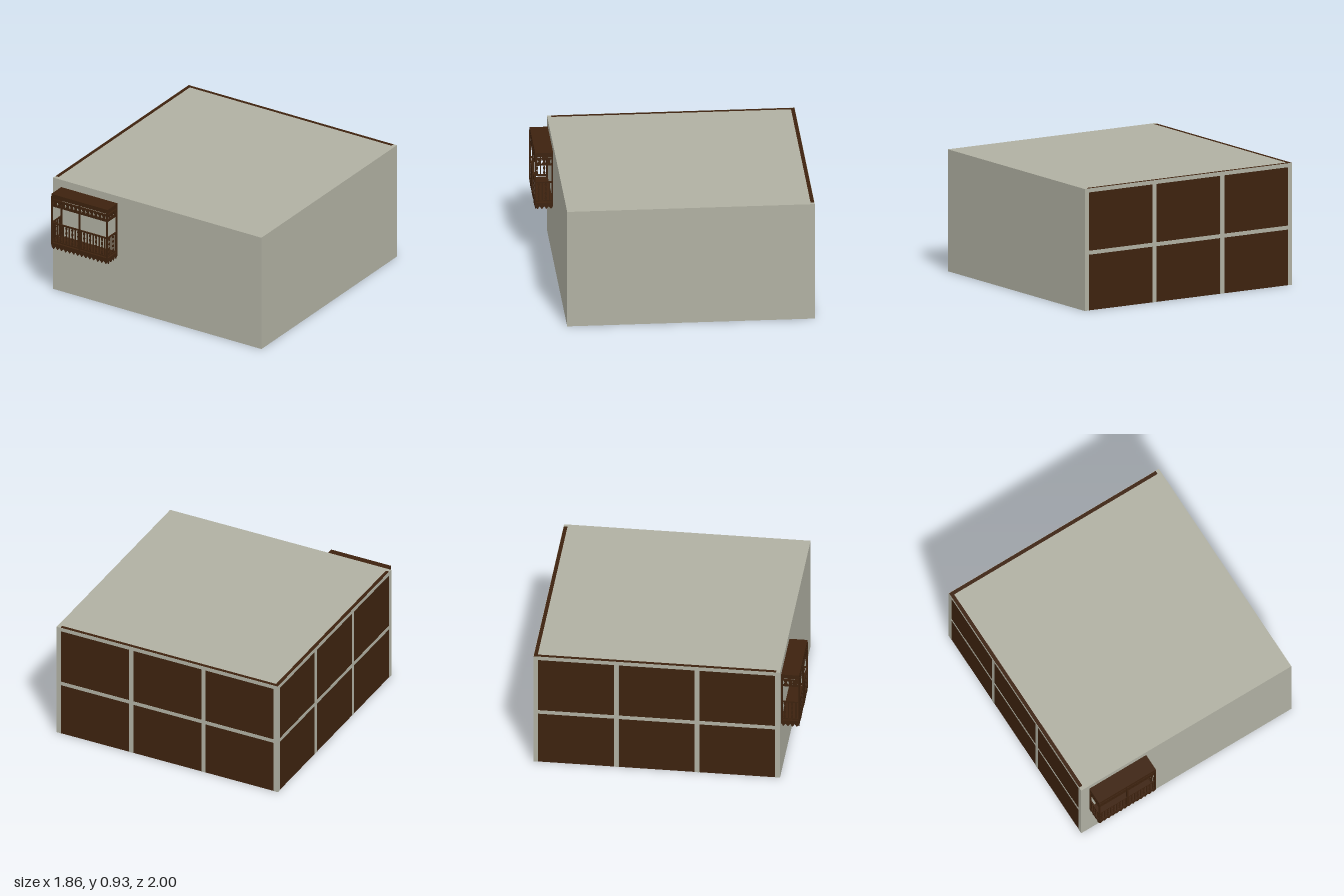
import * as THREE from 'three';

const plaster = new THREE.MeshStandardMaterial({ color: 0xb0b0a2 });
plaster.name = 'plaster';
const wood = new THREE.MeshStandardMaterial({ color: 0x3d220e });
wood.name = 'dark wood';

// Box given by its min and max corners
function box(parent, name, mat, x0, x1, y0, y1, z0, z1) {
  const mesh = new THREE.Mesh(new THREE.BoxGeometry(x1 - x0, y1 - y0, z1 - z0), mat);
  mesh.position.set((x0 + x1) / 2, (y0 + y1) / 2, (z0 + z1) / 2);
  mesh.name = name;
  parent.add(mesh);
}

// Flat sawn board, centred on z = 0
function board(parent, name, shape, thickness) {
  const geo = new THREE.ExtrudeGeometry(shape, { depth: thickness, bevelEnabled: false });
  geo.translate(0, 0, -thickness / 2);
  const mesh = new THREE.Mesh(geo, wood);
  mesh.name = name;
  parent.add(mesh);
}

const points = (list) => list.map(([x, y]) => new THREE.Vector2(x, y));

// Plaster strips framing a wooden wall, in the wall's own plane (u along, facing +z)
function timberFrame(u0, u1) {
  const g = new THREE.Group();
  const t = 0.002, w = 0.036, len = u1 - u0;
  for (let i = 0; i <= 3; i++) {
    const c = u0 + w / 2 + (i / 3) * (len - w);
    box(g, 'frameUpright', plaster, c - w / 2, c + w / 2, 0, 0.93, 0, t);
  }
  for (const y of [0.425, 0.9]) box(g, 'frameBeam', plaster, u0, u1, y, y + 0.03, 0, t);
  return g;
}

// One side of the balcony: fringe, balustrade and pierced frieze
function balconySide(length) {
  const g = new THREE.Group();
  const h = length / 2;
  box(g, 'handRail', wood, -h, h, 0.625, 0.636, -0.005, 0.005);
  box(g, 'bottomRail', wood, -h, h, 0.475, 0.486, -0.005, 0.005);

  // Balusters, plain and notched by turns
  const bars = Math.round(length / 0.026);
  for (let i = 1; i < bars; i++) {
    const x = -h + (i * length) / bars;
    if (i % 2 === 0) {
      box(g, 'plainBaluster', wood, x - 0.0045, x + 0.0045, 0.48, 0.63, -0.003, 0.003);
      continue;
    }
    const right = [];
    for (let k = 0; k <= 8; k++) right.push([k % 2 ? 0.009 : 0.003, 0.48 + (k * 0.15) / 8]);
    const left = right.map(([dx, y]) => [-dx, y]).reverse();
    const outline = [...right, ...left].map(([dx, y]) => [x + dx, y]);
    board(g, 'notchedBaluster', new THREE.Shape(points(outline)), 0.006);
  }

  // Frieze pierced by diamonds
  const n = Math.round(length / 0.036);
  const pitch = length / n;
  const frieze = new THREE.Shape(points([[-h, 0.767], [h, 0.767], [h, 0.828], [-h, 0.828]]));
  for (let i = 0; i < n; i++) {
    const x = -h + (i + 0.5) * pitch;
    frieze.holes.push(new THREE.Path(points(
      [[x, 0.778], [x - 0.009, 0.798], [x, 0.818], [x + 0.009, 0.798]])));
  }
  board(g, 'frieze', frieze, 0.008);

  // Hanging saw-tooth fringe
  const teeth = [[h, 0.445], [-h, 0.445]];
  for (let i = 0; i < n; i++) {
    const x = -h + i * pitch;
    teeth.push([x, 0.436], [x + pitch / 2, 0.413]);
  }
  teeth.push([h, 0.436]);
  board(g, 'fringe', new THREE.Shape(points(teeth)), 0.008);
  return g;
}

function createBalcony() {
  const g = new THREE.Group();
  g.name = 'balcony';
  const x0 = -0.858, x1 = -0.355, z0 = 0.86, z1 = 0.996;
  const mid = (x0 + x1) / 2, midZ = (z0 + z1) / 2;
  box(g, 'balconyRoof', wood, x0, x1, 0.836, 0.87, z0, z1);
  box(g, 'balconyFloor', wood, x0, x1, 0.438, 0.465, z0, z1);

  // Posts at the corners and the middle of the front
  const r = 0.006;
  for (const [x, z] of [[x0 + r, z0 + r], [x1 - r, z0 + r], [x0 + r, 0.994], [mid, 0.994], [x1 - r, 0.994]])
    box(g, 'post', wood, x - r, x + r, 0.45, 0.85, z - r, z + r);

  const front = balconySide(x1 - x0);
  front.name = 'balconyFront';
  front.position.set(mid, 0, z1 - 0.004);
  g.add(front);
  for (const [x, turn, name] of [[x0 + 0.005, -1, 'balconyRightSide'], [x1 - 0.005, 1, 'balconyLeftSide']]) {
    const side = balconySide(z1 - z0);
    side.name = name;
    side.position.set(x, 0, midZ);
    side.rotation.y = (turn * Math.PI) / 2;
    g.add(side);
  }
  return g;
}

export function createModel() {
  const model = new THREE.Group();
  model.name = 'houseStorey';

  // Shell, open below
  box(model, 'frontWall', plaster, -0.93, 0.93, 0, 0.93, 0.83, 0.86);
  box(model, 'leftWall', plaster, 0.9, 0.93, 0, 0.93, -1, 0.83);
  box(model, 'roof', plaster, -0.9, 0.9, 0.9, 0.93, -0.97, 0.83);
  box(model, 'backWall', wood, -0.928, 0.9, 0, 0.93, -0.998, -0.97);
  box(model, 'rightWall', wood, -0.928, -0.9, 0, 0.93, -0.97, 0.83);

  // Frames on the two wooden walls
  const backFrame = timberFrame(-0.93, 0.93);
  backFrame.name = 'backFrame';
  backFrame.rotation.y = Math.PI;
  backFrame.position.z = -0.998;
  model.add(backFrame);

  const rightFrame = timberFrame(-1, 0.86);
  rightFrame.name = 'rightFrame';
  rightFrame.rotation.y = -Math.PI / 2;
  rightFrame.position.x = -0.928;
  model.add(rightFrame);

  model.add(createBalcony());
  return model;
}
